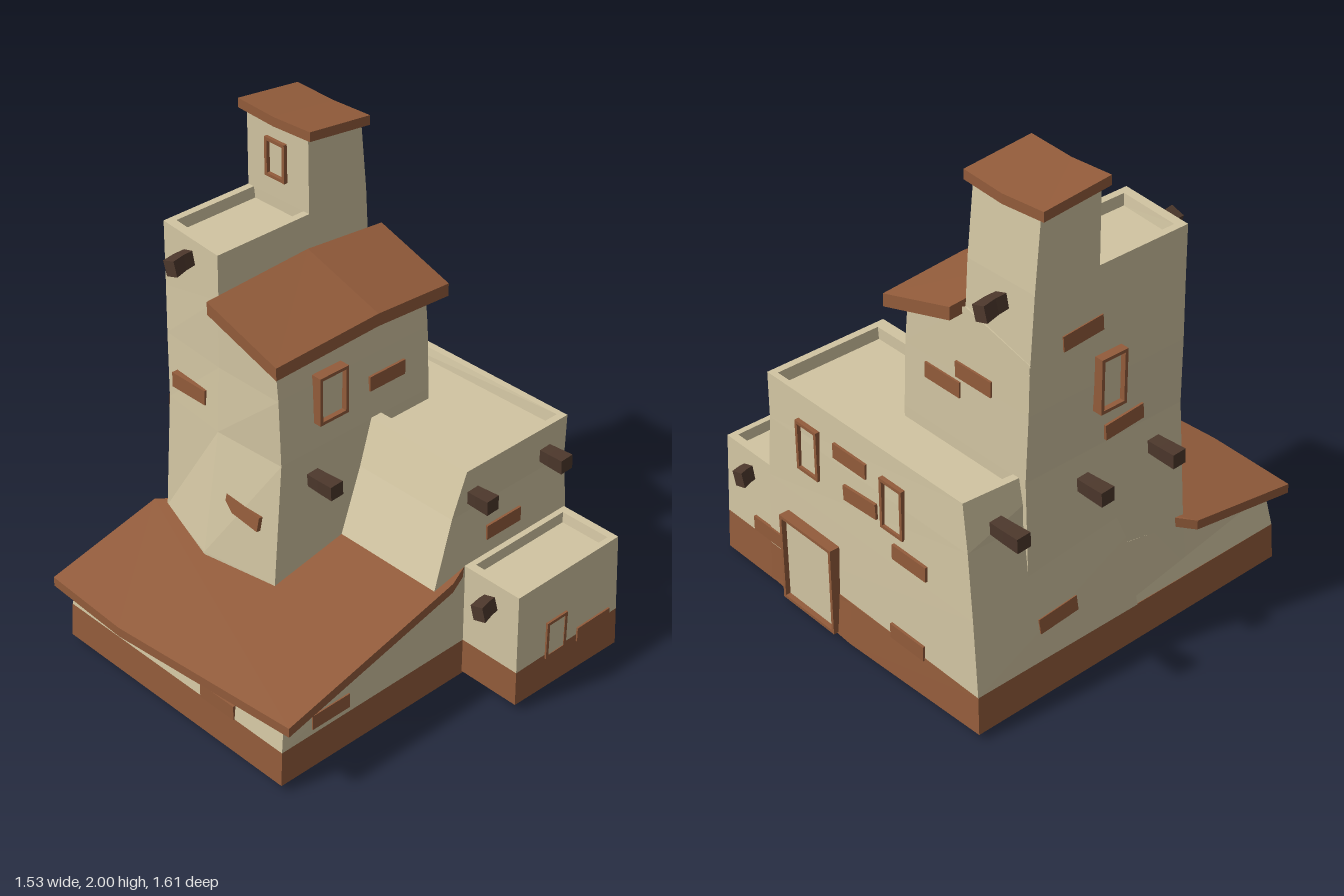
import * as THREE from 'three';

const paint = (name, color) => {
  const m = new THREE.MeshStandardMaterial({ color });
  m.name = name;
  return m;
};

// Rectangle ring, counterclockwise seen from above, starting front left
const rect = (y, x0, x1, z0, z1) => [[x0, y, z1], [x1, y, z1], [x1, y, z0], [x0, y, z0]];

// Closed solid through rings of equal length; group 0 = sides and top, group 1 = underside
function loft(rings) {
  const pos = [];
  const tri = (...p) => p.forEach((v) => pos.push(...v));
  const n = rings[0].length;
  for (let r = 0; r + 1 < rings.length; r++) {
    const a = rings[r], b = rings[r + 1];
    for (let i = 0; i < n; i++) {
      const j = (i + 1) % n;
      tri(a[i], a[j], b[j]);
      tri(a[i], b[j], b[i]);
    }
  }
  const top = rings[rings.length - 1], bottom = rings[0];
  for (let i = 1; i + 1 < n; i++) tri(top[0], top[i], top[i + 1]);
  const split = pos.length / 3;
  for (let i = 1; i + 1 < n; i++) tri(bottom[0], bottom[i + 1], bottom[i]);
  const g = new THREE.BufferGeometry();
  g.setAttribute('position', new THREE.Float32BufferAttribute(pos, 3));
  g.addGroup(0, split, 0);
  g.addGroup(split, pos.length / 3 - split, 1);
  g.computeVertexNormals();
  return g;
}

// Roof slab: top outline and the same outline lowered
const slab = (top, t) => loft([top.map(([x, y, z]) => [x, y - t, z]), top]);

export function createModel() {
  const model = new THREE.Group();
  const plaster = paint('plaster', 0xd2c5a2);
  const clay = paint('clay', 0x935c3b);
  const wood = paint('wood', 0x4d382c);
  const facing = { front: 0, right: Math.PI / 2, back: Math.PI, left: -Math.PI / 2 };

  function add(name, geometry, material, under = material) {
    const mats = geometry.groups.length === 2 ? [material, under] : material;
    const mesh = new THREE.Mesh(geometry, mats);
    mesh.name = name;
    model.add(mesh);
    return mesh;
  }

  // Clay plinths with plaster undersides
  add('plinth', loft([
    [[-0.70, 0.03, 0.72], [0.485, 0.03, 0.72], [0.485, 0.015, -0.765], [0, 0, -0.78], [-0.71, 0.03, -0.775]],
    [[-0.69, 0.18, 0.715], [0.485, 0.18, 0.715], [0.485, 0.18, -0.76], [0, 0.18, -0.765], [-0.695, 0.18, -0.765]],
  ]), clay, plaster);
  add('annexPlinth', loft([
    [[0.47, 0.03, -0.2], [0.757, 0.03, -0.2], [0.757, 0.012, -0.765], [0.47, 0.012, -0.765]],
    rect(0.18, 0.47, 0.755, -0.757, -0.2),
  ]), clay, plaster);

  // Low front hall under the lean-to roof
  add('hallWalls', loft([
    [[-0.69, 0.18, 0.715], [0.485, 0.18, 0.715], [0.485, 0.18, -0.2], [-0.69, 0.18, -0.2]],
    [[-0.66, 0.315, 0.7], [0.48, 0.315, 0.7], [0.483, 0.49, -0.2], [-0.66, 0.49, -0.2]],
  ]), plaster);
  add('hallRoof', slab([
    [-0.72, 0.435, 0.27], [-0.70, 0.338, 0.785], [-0.3, 0.335, 0.8], [0.547, 0.345, 0.737],
    [0.51, 0.503, -0.11], [0.48, 0.52, -0.2], [0, 0.52, -0.2], [-0.645, 0.445, 0.2],
  ], 0.04), clay);

  // Rear terrace block with a sunken roof deck
  add('terrace', loft([
    [[-0.695, 0.18, 0], [0.484, 0.18, 0], [0.484, 0.18, -0.76], [-0.695, 0.18, -0.765]],
    [[-0.665, 0.49, -0.04], [0.483, 0.49, -0.04], [0.483, 0.49, -0.75], [-0.66, 0.49, -0.755]],
    [[-0.635, 0.75, -0.14], [0.465, 0.75, -0.14], [0.465, 0.75, -0.743], [-0.625, 0.75, -0.745]],
    [[-0.63, 0.935, -0.2], [0.475, 0.935, -0.2], [0.475, 0.935, -0.735], [-0.59, 0.935, -0.735]],
    [[-0.6, 0.935, -0.25], [0.445, 0.935, -0.25], [0.445, 0.935, -0.71], [-0.56, 0.935, -0.70]],
    [[-0.6, 0.885, -0.25], [0.44, 0.885, -0.25], [0.44, 0.885, -0.705], [-0.55, 0.885, -0.69]],
  ]), plaster);

  // Side annex with a sunken roof deck
  add('annex', loft([
    rect(0.18, 0.46, 0.755, -0.757, -0.2),
    rect(0.522, 0.46, 0.75, -0.742, -0.2),
    rect(0.522, 0.505, 0.725, -0.71, -0.235),
    rect(0.48, 0.51, 0.72, -0.705, -0.24),
  ]), plaster);

  // Main tower: three points along the front and three along the back
  const towerRing = (y, xl, xr, zl, zm, zr, zb, ym = y, yr = y) => [
    [xl, y, zl], [-0.335, ym, zm], [xr, yr, zr], [xr, yr, zb], [-0.335, ym, zb], [xl, y, zb],
  ];
  add('tower', loft([
    towerRing(0.25, -0.675, 0, 0.26, 0.36, 0.31, -0.5),
    towerRing(0.43, -0.66, 0, 0.255, 0.35, 0.3, -0.5),
    towerRing(0.93, -0.64, -0.01, 0.235, 0.265, 0.25, -0.5),
    towerRing(1.2, -0.65, -0.02, 0.225, 0.25, 0.25, -0.497),
    towerRing(1.4, -0.652, -0.035, 0.22, 0.248, 0.25, -0.495, 1.48, 1.36),
  ]), plaster);
  add('towerTop', loft([
    [[-0.652, 1.38, 0.22], [-0.33, 1.38, 0.248], [-0.33, 1.38, -0.25], [-0.652, 1.38, -0.25]],
    [[-0.655, 1.66, 0.215], [-0.33, 1.66, 0.245], [-0.33, 1.66, -0.25], [-0.655, 1.66, -0.25]],
    [[-0.625, 1.66, 0.18], [-0.36, 1.66, 0.205], [-0.36, 1.66, -0.23], [-0.625, 1.66, -0.23]],
    [[-0.62, 1.615, 0.175], [-0.365, 1.615, 0.2], [-0.365, 1.615, -0.23], [-0.62, 1.615, -0.23]],
  ]), plaster);
  add('turret', loft([
    rect(1.36, -0.652, -0.33, -0.495, -0.2),
    rect(1.66, -0.655, -0.33, -0.478, -0.192),
    [[-0.652, 1.97, -0.19], [-0.33, 1.97, -0.19], [-0.33, 1.945, -0.45], [-0.652, 1.945, -0.45]],
  ]), plaster);

  // Tower and turret roofs, creased across the middle
  add('towerRoof', slab([
    [-0.325, 1.525, -0.18], [-0.32, 1.505, 0.31], [0.035, 1.39, 0.308],
    [0.04, 1.41, -0.18], [0.035, 1.385, -0.545], [-0.32, 1.495, -0.55],
  ], 0.052), clay);
  add('turretRoof', slab([
    [-0.5, 1.99, -0.178], [-0.305, 2.0, -0.175], [-0.3, 1.97, -0.465],
    [-0.49, 1.96, -0.47], [-0.68, 1.97, -0.465], [-0.685, 2.0, -0.178],
  ], 0.038), clay);

  // Exposed bricks: [side, x, y, z, tilt, lean]
  const brick = new THREE.BoxGeometry(0.18, 0.062, 0.04);
  [
    ['front', -0.5, 1.038, 0.24, 0, 0], ['front', -0.17, 0.67, 0.285, -0.1, -0.12],
    ['front', 0.145, 0.21, 0.7, 0, 0],
    ['right', -0.027, 1.085, -0.28, 0, 0], ['right', 0.462, 0.612, -0.405, 0, 0],
    ['right', 0.47, 0.235, 0.48, 0, 0], ['right', 0.742, 0.18, -0.62, 0, 0],
    ['back', 0.49, 0.22, -0.745, 0, 0], ['back', 0, 0.8, -0.73, 0, 0],
    ['back', -0.06, 0.66, -0.737, 0.06, 0], ['back', -0.33, 0.55, -0.742, 0, 0],
    ['back', -0.32, 0.2, -0.752, 0, 0], ['back', -0.22, 1.14, -0.485, 0, 0],
    ['back', -0.38, 1.22, -0.485, 0, 0],
    ['left', -0.638, 1.43, -0.26, 0.08, 0], ['left', -0.632, 0.98, -0.05, 0.08, 0],
    ['left', -0.665, 0.33, -0.38, 0.08, -0.1],
  ].forEach(([side, x, y, z, tilt, lean]) => {
    const m = add('brick', brick, clay);
    m.position.set(x, y, z);
    m.rotation.set(lean, facing[side], tilt, 'YXZ');
  });

  // Thin projecting frames with a plaster panel: [name, side, x, y, z, width, height, depth]
  [
    ['turretWindow', 'front', -0.495, 1.82, -0.176, 0.105, 0.155, 0.04],
    ['towerSideWindow', 'right', 0.02, 1.14, 0.015, 0.14, 0.2, 0.05],
    ['towerLeftWindow', 'left', -0.687, 1.2, -0.14, 0.12, 0.22, 0.05],
    ['backWindow', 'back', 0.235, 0.725, -0.758, 0.12, 0.21, 0.04],
    ['backWindow', 'back', -0.235, 0.725, -0.758, 0.12, 0.21, 0.04],
    ['annexWindow', 'right', 0.762, 0.245, -0.41, 0.11, 0.165, 0.02],
    ['backDoor', 'back', 0.22, 0.2, -0.798, 0.3, 0.38, 0.05],
  ].forEach(([name, side, x, y, z, w, h, d]) => {
    const box = (P, a, b) => new P().moveTo(-a, -b).lineTo(a, -b).lineTo(a, b).lineTo(-a, b).closePath();
    const shape = box(THREE.Shape, w / 2, h / 2);
    shape.holes.push(box(THREE.Path, w / 2 - 0.013, h / 2 - 0.013));
    const group = new THREE.Group();
    group.name = name;
    const frame = new THREE.Mesh(new THREE.ExtrudeGeometry(shape, { depth: d, bevelEnabled: false }), clay);
    frame.name = 'frame';
    frame.position.z = -d;
    const panel = new THREE.Mesh(new THREE.BoxGeometry(w - 0.02, h - 0.02, 0.008), plaster);
    panel.name = 'panel';
    panel.position.z = side === 'right' && d < 0.03 ? -0.007 : -0.5 * d;
    group.add(frame, panel);
    group.position.set(x, y, z);
    group.rotation.y = facing[side];
    model.add(group);
  });

  // Drooping beam ends: [side, x, y, z, length]
  [
    ['left', -0.63, 0.815, -0.625, 0.13], ['left', -0.63, 0.815, -0.24, 0.13],
    ['left', -0.63, 0.815, 0.1, 0.135], ['right', -0.02, 0.815, 0.1, 0.13],
    ['right', 0.45, 0.815, -0.24, 0.11], ['right', 0.45, 0.815, -0.625, 0.12],
    ['front', -0.5, 1.58, 0.22, 0.11], ['back', -0.505, 1.58, -0.47, 0.12],
    ['front', 0.615, 0.43, -0.22, 0.1], ['back', 0.615, 0.43, -0.73, 0.075],
  ].forEach(([side, x, y, z, len], i) => {
    const g = new THREE.BoxGeometry(0.052, 0.052, len, 1, 1, 2).translate(0, 0, len / 2);
    const p = g.attributes.position;
    for (let k = 0; k < p.count; k++) {
      const t = p.getZ(k) / len;
      p.setXYZ(k, p.getX(k) * (1 + 0.15 * t) + 0.01 * t * t, p.getY(k) * (1 + 0.15 * t) - 0.008 * t * t, p.getZ(k));
    }
    g.computeVertexNormals();
    const m = add('beam', g.toNonIndexed(), wood);
    m.geometry.computeVertexNormals();
    m.position.set(x, y, z);
    m.rotation.set(0, facing[side], i > 5 ? 0.3 : 0.05, 'YXZ');
  });

  return model;
}
